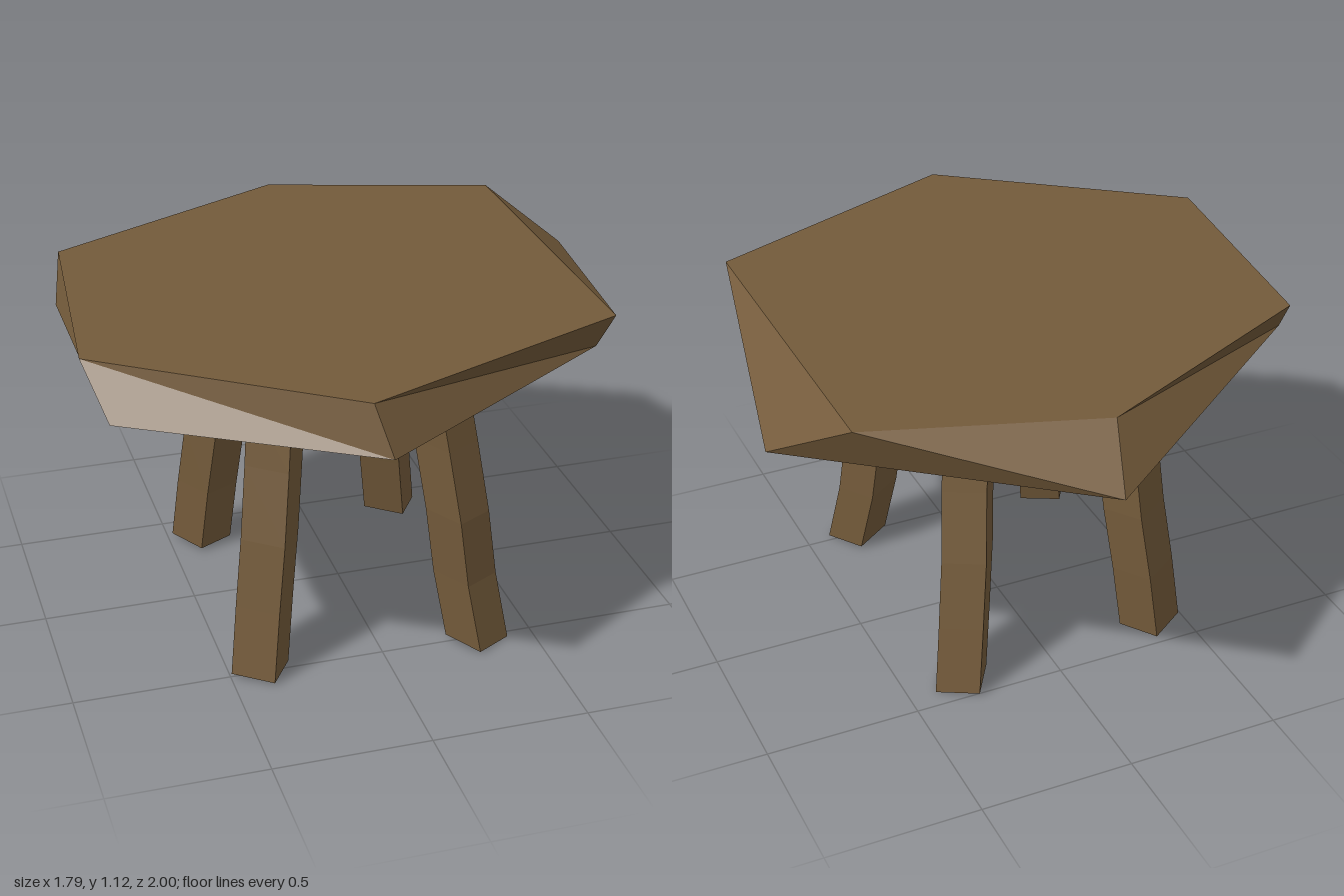
import * as THREE from 'three';

const wood = new THREE.MeshStandardMaterial({ color: 0x735a3a, flatShading: true });

// Skins a stack of cross-sections (bottom to top, clockwise from above) and caps both ends.
function loft(name, rings) {
  const n = rings[0].length;
  const index = [];
  for (let r = 0; r < rings.length - 1; r++) {
    for (let i = 0; i < n; i++) {
      const j = (i + 1) % n;
      const a = r * n + i, b = r * n + j, c = b + n, d = a + n;
      index.push(b, a, c, a, d, c);
    }
  }
  const last = (rings.length - 1) * n;
  for (let i = 1; i < n - 1; i++) {
    index.push(0, i, i + 1);
    index.push(last, last + i + 1, last + i);
  }
  const indexed = new THREE.BufferGeometry();
  indexed.setAttribute('position', new THREE.Float32BufferAttribute(rings.flat(2), 3));
  indexed.setIndex(index);
  const geometry = indexed.toNonIndexed();
  geometry.computeVertexNormals();
  const mesh = new THREE.Mesh(geometry, wood);
  mesh.name = name;
  return mesh;
}

// Crooked square leg following a centre line of [x, z] points; twist turns its section slightly.
function leg(name, centres, twist) {
  const heights = [0.008, 0.23, 0.45, 0.68, 0.9, 1.04];
  const rings = centres.map(([cx, cz], k) => {
    let dx = 0.022 * twist, dz = 0.098;
    const ring = [];
    for (let i = 0; i < 4; i++) {
      ring.push([cx + dx, heights[k] - 0.08 * dx, cz + dz]);
      [dx, dz] = [-dz, dx];
    }
    return ring;
  });
  return loft(name, rings);
}

export function createModel() {
  const table = new THREE.Group();
  table.name = 'roughTable';

  // Irregular six-sided slab with bevelled, uneven edges
  const upper = [[-0.02, -0.79], [0.7, -0.56], [0.7, 0.58], [-0.17, 0.925], [-0.9, 0.4], [-0.82, -0.41]];
  const lower = [[0.055, -1], [0.89, -0.34], [0.69, 0.47], [-0.13, 0.995], [-0.85, 0.57], [-0.855, -0.3]];
  table.add(loft('tableTop', [
    lower.map(([x, z]) => [x, 0.978 - 0.007 * z, z]),
    upper.map(([x, z]) => [x, 1.12 + 0.006 * x, z]),
  ]));

  // Four splayed legs, from foot to top
  table.add(
    leg('frontLeftLeg', [[0.317, 0.506], [0.285, 0.462], [0.262, 0.442], [0.235, 0.394], [0.205, 0.354], [0.205, 0.355]], -1),
    leg('frontRightLeg', [[-0.4, 0.485], [-0.373, 0.45], [-0.345, 0.42], [-0.317, 0.375], [-0.295, 0.34], [-0.3, 0.34]], 1),
    leg('backLeftLeg', [[0.313, -0.414], [0.285, -0.38], [0.257, -0.343], [0.232, -0.292], [0.203, -0.255], [0.205, -0.245]], 1),
    leg('backRightLeg', [[-0.387, -0.378], [-0.365, -0.355], [-0.342, -0.32], [-0.33, -0.28], [-0.297, -0.25], [-0.3, -0.245]], -1),
  );
  return table;
}
